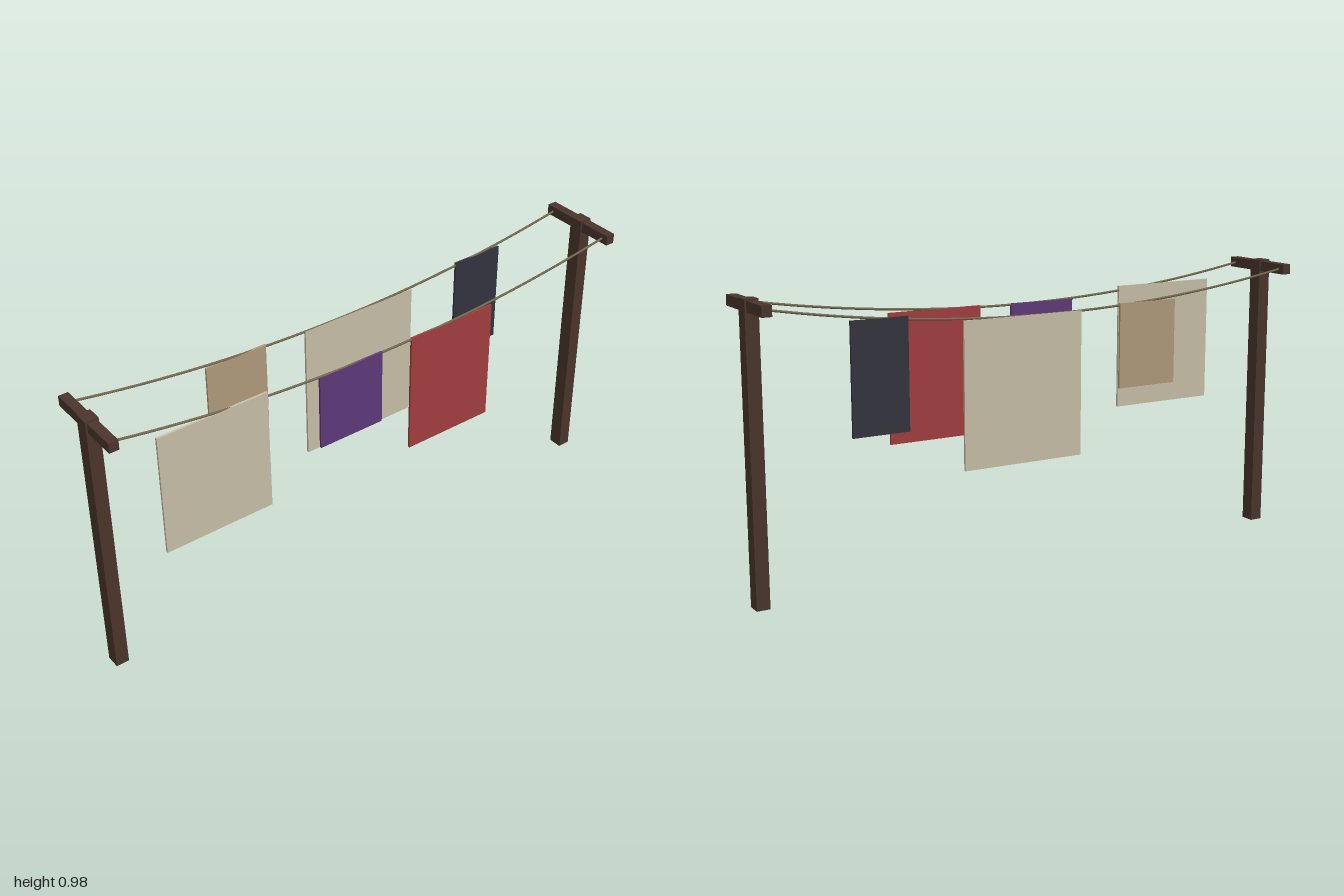
import * as THREE from 'three';

const material = (name, color) => {
  const m = new THREE.MeshStandardMaterial({ color });
  m.name = name;
  return m;
};

export function createModel() {
  const wood = material('dark wood', 0x4a352d);
  const twine = material('twine', 0x746850);
  const cream = material('cream cloth', 0xc8c0a8);
  const tan = material('tan cloth', 0xb09c7c);
  const purple = material('purple cloth', 0x5f3a7a);
  const red = material('red cloth', 0xa33e3e);
  const navy = material('navy cloth', 0x343440);

  const model = new THREE.Group();
  model.name = 'clothesline';

  const box = (name, mat, [w, h, d], [x, y, z], parent = model) => {
    const mesh = new THREE.Mesh(new THREE.BoxGeometry(w, h, d), mat);
    mesh.name = name;
    mesh.position.set(x, y, z);
    parent.add(mesh);
  };

  // Two posts, each with a crossbar
  for (const side of [-1, 1]) {
    const support = new THREE.Group();
    support.name = side > 0 ? 'leftSupport' : 'rightSupport';
    box('post', wood, [0.045, 0.975, 0.05], [side * 0.9775, 0.4875, 0], support);
    box('crossbar', wood, [0.033, 0.035, 0.294], [side * 0.9775, 0.9525, 0], support);
    model.add(support);
  }

  // Two sagging lines between the crossbars
  const lineZ = 0.122;
  for (const side of [-1, 1]) {
    const points = [];
    for (let i = 0; i <= 12; i++) {
      const t = i / 6 - 1;
      points.push(new THREE.Vector3(t * 0.975, 0.866 + 0.088 * t * t, side * lineZ));
    }
    const curve = new THREE.CatmullRomCurve3(points);
    const line = new THREE.Mesh(new THREE.TubeGeometry(curve, 32, 0.004, 8), twine);
    line.name = side > 0 ? 'frontLine' : 'backLine';
    model.add(line);
  }

  // Hanging cloths: name, material, line side, x range, y range
  const cloths = [
    ['frontSheet', cream, 1, -0.83, -0.44, 0.465, 0.9],
    ['purpleTowel', purple, 1, -0.245, 0, 0.6, 0.87],
    ['redBlanket', red, 1, 0.12, 0.46, 0.435, 0.873],
    ['tanTowel', tan, -1, -0.505, -0.28, 0.59, 0.88],
    ['backSheet', cream, -1, -0.125, 0.315, 0.38, 0.869],
    ['navyTowel', navy, -1, 0.51, 0.705, 0.535, 0.9],
  ];
  for (const [name, mat, side, x0, x1, y0, y1] of cloths) {
    box(name, mat, [x1 - x0, y1 - y0, 0.008], [(x0 + x1) / 2, (y0 + y1) / 2, side * lineZ]);
  }

  return model;
}
